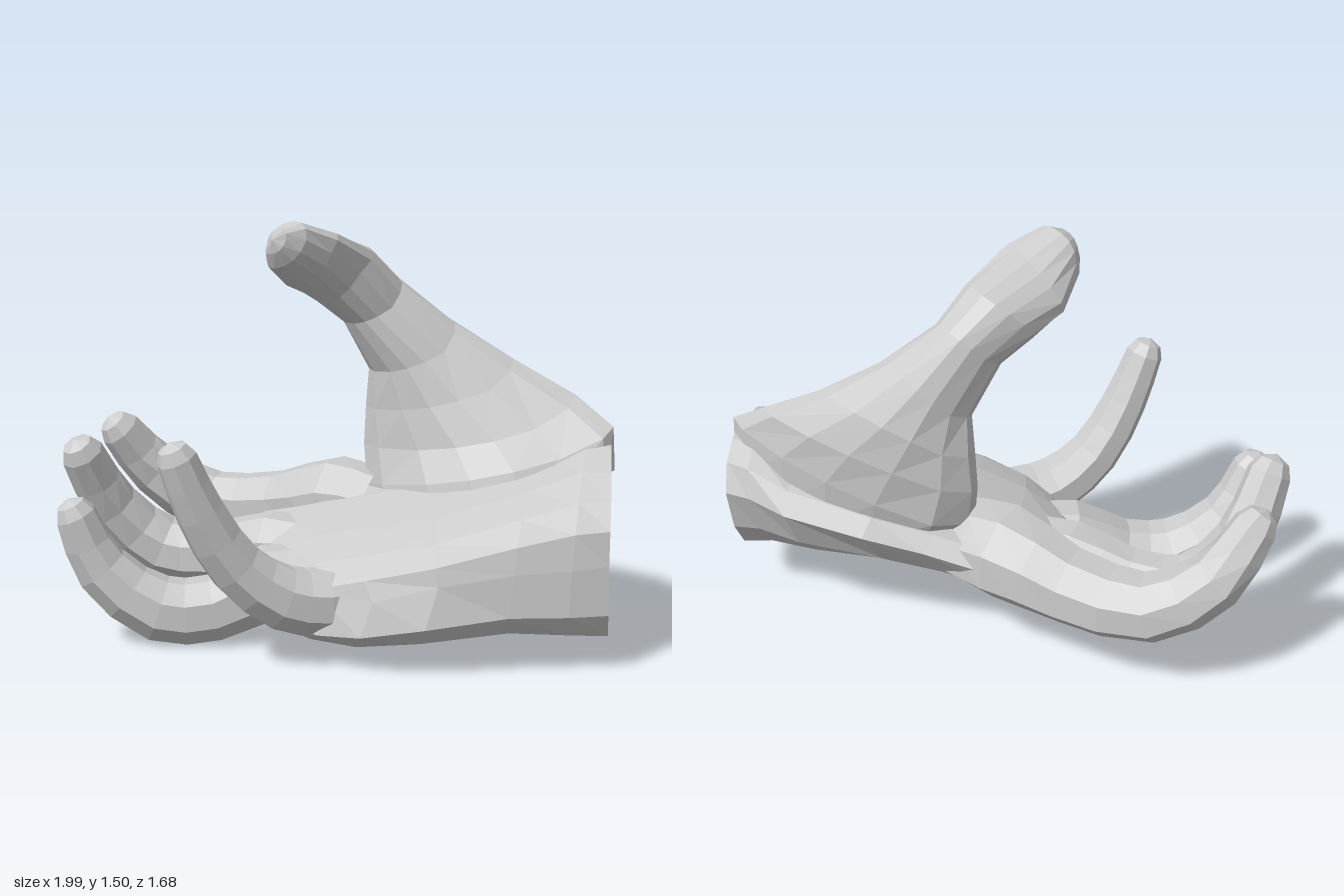
import * as THREE from 'three';

const V = (p) => new THREE.Vector3(...p);
const SIDES = 14;

// Skin over a list of equal rings, open at the start and closed at the end point.
function loft(rings, endPoint) {
  const n = rings[0].length;
  const index = [];
  for (let i = 0; i < rings.length; i++) {
    for (let j = 0; j < n; j++) {
      const k = (j + 1) % n;
      const a = i * n + j, b = i * n + k;
      if (i < rings.length - 1) index.push(a, b, b + n, a, b + n, a + n);
      else index.push(rings.length * n, a, b);
    }
  }
  const g = new THREE.BufferGeometry().setFromPoints([...rings.flat(), endPoint]);
  g.setIndex(index);
  g.computeVertexNormals();
  return g;
}

// Ring of four quarter ellipses through the points a, b, c and d.
function ring([a, b, c, d]) {
  const [A, B, C, D] = [a, b, c, d].map(V);
  const mid = A.clone().add(C).multiplyScalar(0.5);
  return Array.from({ length: SIDES }, (_, j) => {
    const t = (j / SIDES) * Math.PI * 2;
    const co = Math.cos(t), si = Math.sin(t);
    return mid.clone()
      .addScaledVector((co > 0 ? A : C).clone().sub(mid), Math.abs(co) ** 0.82)
      .addScaledVector((si > 0 ? B : D).clone().sub(mid), Math.abs(si) ** 0.82);
  });
}

// Finger: a tapering tube along joint centres, [x, y, z, radius] each.
function finger(joints) {
  const curve = new THREE.CatmullRomCurve3(joints.map(([x, y, z]) => V([x, y, z])), false, 'centripetal');
  const along = curve.points.at(-1).clone().sub(curve.points[0]).setY(0);
  const across = new THREE.Vector3(0, 1, 0).cross(along).normalize();
  const spans = joints.length - 1, steps = spans * 2;
  const makeRing = (centre, tangent, r) => {
    const s = across.clone().addScaledVector(tangent, -across.dot(tangent)).normalize();
    const n = tangent.clone().cross(s);
    return Array.from({ length: 8 }, (_, j) => {
      const t = ((j + 0.5) / 8) * Math.PI * 2;
      return centre.clone().addScaledVector(s, Math.cos(t) * r).addScaledVector(n, Math.sin(t) * r);
    });
  };
  const rings = [];
  for (let i = 0; i <= steps; i++) {
    const f = i / 2, k = Math.min(Math.floor(f), spans - 1);
    const r = THREE.MathUtils.lerp(joints[k][3], joints[k + 1][3], f - k);
    rings.push(makeRing(curve.getPoint(i / steps), curve.getTangent(i / steps), r));
  }
  // rounded fingertip
  const end = curve.getPoint(1), dir = curve.getTangent(1), r = joints.at(-1)[3];
  rings.push(makeRing(end.clone().addScaledVector(dir, r * 0.6), dir, r * 0.7));
  return loft(rings, end.clone().addScaledVector(dir, r * 0.9));
}

export function createModel() {
  const hand = new THREE.Group();
  hand.name = 'hand';
  const skin = new THREE.MeshStandardMaterial({ color: 0xcccccc, flatShading: true, side: THREE.DoubleSide });
  const add = (name, geometry) => {
    const mesh = new THREE.Mesh(geometry, skin);
    mesh.name = name;
    hand.add(mesh);
  };

  // Palm from the open wrist to the finger webs: little-finger edge, palm, thumb edge, back
  const palm = [
    [[0.99, 0.38, -0.34], [0.82, 0.69, -0.56], [0.6, 0.56, -0.84], [0.84, 0.12, -0.54]],
    [[0.92, 0.37, -0.23], [0.73, 0.69, -0.52], [0.5, 0.57, -0.81], [0.75, 0.14, -0.45]],
    [[0.8, 0.36, -0.08], [0.6, 0.62, -0.4], [0.35, 0.55, -0.77], [0.6, 0.15, -0.33]],
    [[0.63, 0.32, 0.11], [0.36, 0.53, -0.2], [0.08, 0.53, -0.64], [0.38, 0.13, -0.1]],
    [[0.46, 0.26, 0.25], [0.16, 0.48, -0.06], [-0.07, 0.47, -0.49], [0.2, 0.11, 0.02]],
    [[0.33, 0.22, 0.31], [-0.02, 0.43, 0.04], [-0.25, 0.41, -0.35], [-0.01, 0.11, 0.09]],
    [[0.2, 0.21, 0.32], [-0.13, 0.37, 0.11], [-0.39, 0.37, -0.19], [-0.13, 0.13, 0.15]],
    [[0.08, 0.22, 0.3], [-0.2, 0.33, 0.14], [-0.44, 0.36, -0.07], [-0.19, 0.17, 0.18]],
  ].map(ring);
  add('palm', loft(palm, V([-0.2, 0.25, 0.16])));

  // Thumb growing from the ball of the palm: inner side, back, outer side, pad
  const thumb = [
    [[0.68, 0.59, -0.5], [0.54, 0.57, -0.72], [0.02, 0.42, -0.42], [0.2, 0.43, -0.2]],
    [[0.64, 0.67, -0.5], [0.52, 0.76, -0.73], [-0.06, 0.56, -0.44], [0.15, 0.54, -0.21]],
    [[0.52, 0.76, -0.5], [0.38, 0.88, -0.7], [-0.09, 0.71, -0.42], [0.09, 0.66, -0.24]],
    [[0.36, 0.89, -0.44], [0.21, 1.0, -0.6], [-0.09, 0.85, -0.41], [0.04, 0.8, -0.24]],
    [[0.21, 1.02, -0.36], [0.08, 1.13, -0.47], [-0.09, 0.99, -0.37], [0.02, 0.94, -0.23]],
    [[0.07, 1.18, -0.23], [-0.02, 1.28, -0.33], [-0.14, 1.18, -0.26], [-0.06, 1.12, -0.14]],
    [[0.04, 1.31, -0.1], [-0.05, 1.39, -0.21], [-0.2, 1.29, -0.13], [-0.1, 1.2, -0.05]],
    [[0.04, 1.39, 0.04], [-0.04, 1.45, 0], [-0.21, 1.32, 0.03], [-0.1, 1.27, 0.06]],
    [[0.02, 1.44, 0.14], [-0.06, 1.5, 0.15], [-0.15, 1.4, 0.16], [-0.08, 1.34, 0.18]],
    [[-0.02, 1.44, 0.2], [-0.06, 1.48, 0.2], [-0.12, 1.42, 0.2], [-0.08, 1.39, 0.21]],
  ].map(ring);
  add('thumb', loft(thumb, V([-0.07, 1.44, 0.22])));

  // Curled fingers
  const fingers = {
    indexFinger: [
      [-0.02, 0.41, -0.26, 0.15], [-0.2, 0.42, -0.22, 0.175], [-0.45, 0.37, -0.15, 0.14],
      [-0.72, 0.36, -0.03, 0.125], [-0.88, 0.49, 0.12, 0.105], [-0.92, 0.66, 0.26, 0.08],
    ],
    middleFinger: [
      [-0.02, 0.29, -0.02, 0.1], [-0.25, 0.28, 0.06, 0.14], [-0.46, 0.24, 0.16, 0.12],
      [-0.64, 0.25, 0.28, 0.12], [-0.73, 0.42, 0.44, 0.1], [-0.72, 0.64, 0.58, 0.08],
    ],
    ringFinger: [
      [0.06, 0.25, 0.06, 0.1], [-0.08, 0.22, 0.22, 0.135], [-0.2, 0.13, 0.39, 0.12],
      [-0.33, 0.13, 0.54, 0.12], [-0.46, 0.28, 0.69, 0.1], [-0.5, 0.48, 0.77, 0.075],
    ],
    littleFinger: [
      [0.34, 0.25, 0.08, 0.09], [0.24, 0.22, 0.26, 0.12], [0.17, 0.25, 0.4, 0.115],
      [0.1, 0.37, 0.54, 0.1], [0.06, 0.57, 0.66, 0.085], [0.04, 0.76, 0.74, 0.07],
    ],
  };
  for (const [name, joints] of Object.entries(fingers)) add(name, finger(joints));

  return hand;
}
